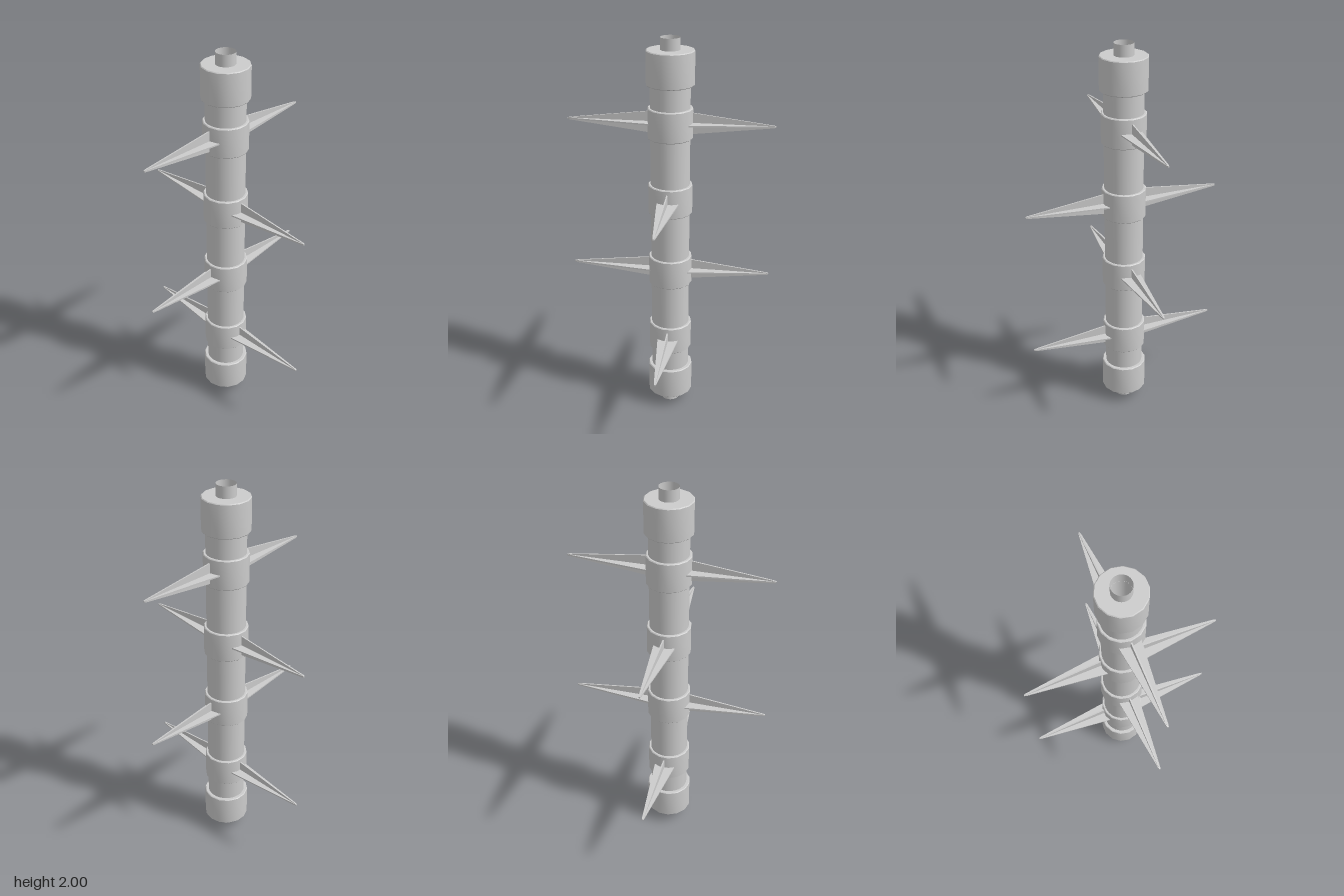
import * as THREE from 'three';
import { toCreasedNormals } from 'three/addons/utils/BufferGeometryUtils.js';

const material = new THREE.MeshStandardMaterial({ color: 0xcccccc });
const openMaterial = new THREE.MeshStandardMaterial({ color: 0xcccccc, side: THREE.DoubleSide });

const PIPE_R = 0.048, SHAFT_R = 0.098;

function add(parent, name, geometry, mat = material) {
  const mesh = new THREE.Mesh(geometry, mat);
  mesh.name = name;
  parent.add(mesh);
  return mesh;
}

// Faceted ring with slightly chamfered outer edges
function ring(inner, outer, y0, y1, bevel = 0.004) {
  const profile = [
    [inner, y0], [outer - bevel, y0], [outer, y0 + bevel],
    [outer, y1 - bevel], [outer - bevel, y1], [inner, y1],
  ].map(([r, y]) => new THREE.Vector2(r, y));
  return toCreasedNormals(new THREE.LatheGeometry(profile, 14), 0.6);
}

// Thin tapered blade lying in the xy plane, pointing along +x
function bladeGeometry() {
  const thickness = 0.007;
  const shape = new THREE.Shape([
    [0.09, -0.055], [0.5, -0.006], [0.51, -0.003],
    [0.51, 0.003], [0.5, 0.006], [0.09, 0.055],
  ].map(([x, y]) => new THREE.Vector2(x, y)));
  const geometry = new THREE.ExtrudeGeometry(shape, { depth: thickness, bevelEnabled: false });
  return geometry.translate(0, 0, -thickness / 2);
}

export function createModel() {
  const model = new THREE.Group();
  model.name = 'spikedRoller';

  // Hollow pipe running through the whole length
  const pipe = add(model, 'corePipe',
    new THREE.CylinderGeometry(PIPE_R, PIPE_R, 2, 32, 1, true), openMaterial);
  pipe.position.y = 1;

  // Main shaft
  const shaft = add(model, 'shaft',
    new THREE.CylinderGeometry(SHAFT_R, SHAFT_R, 1.6, 32, 1, true), openMaterial);
  shaft.position.y = 1;

  // End caps
  add(model, 'bottomCap', ring(PIPE_R, 0.118, 0.062, 0.23));
  add(model, 'topCap', ring(PIPE_R, 0.118, 1.775, 1.942));

  // Collars, each with an opposed pair of cross-section spikes, a quarter turn apart
  const blade = bladeGeometry();
  [0.415, 0.806, 1.199, 1.59].forEach((y, i) => {
    const stage = new THREE.Group();
    stage.name = `spikeStage${i + 1}`;
    stage.position.y = y;
    model.add(stage);
    add(stage, 'collar', ring(SHAFT_R - 0.003, 0.112, -0.076, 0.076));
    for (const side of [0, 1]) {
      const spike = new THREE.Group();
      spike.name = 'spike';
      spike.rotation.y = side * Math.PI + (i % 2) * Math.PI / 2;
      add(spike, 'verticalBlade', blade);
      add(spike, 'horizontalBlade', blade).rotation.x = Math.PI / 2;
      stage.add(spike);
    }
  });
  return model;
}
